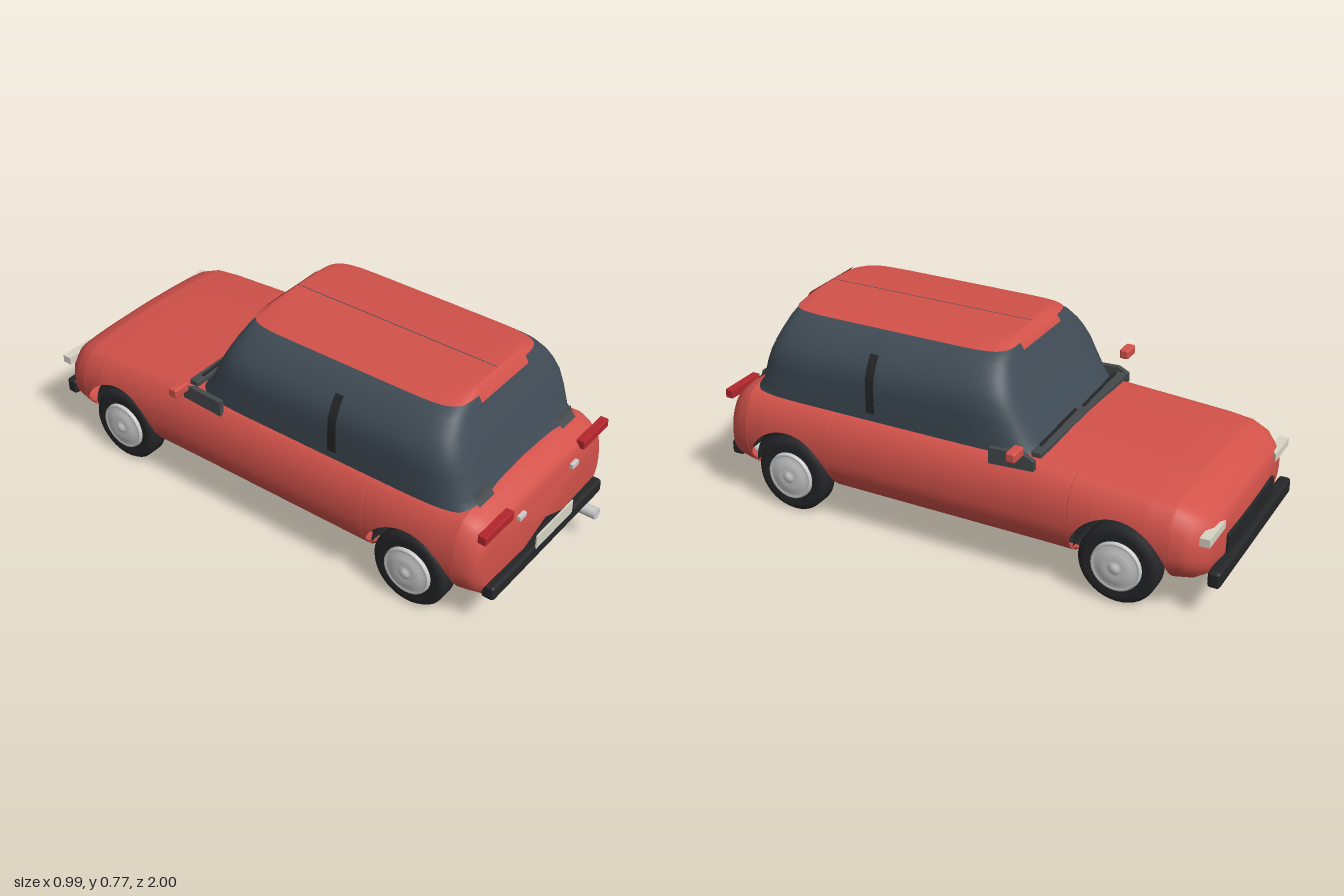
import * as THREE from 'three';
import { RoundedBoxGeometry } from 'three/addons/geometries/RoundedBoxGeometry.js';

const mat = (color) => new THREE.MeshStandardMaterial({ color, side: THREE.DoubleSide });
const RED = mat(0xd2524a), GLASS = mat(0x3f4b55), BLACK = mat(0x252628), TRIM = mat(0x45494b),
  CHROME = mat(0xcccccc), CREAM = mat(0xd8d5c5), LAMP = mat(0xb3262d);

const WHEELS = [-0.655, 0.65], AXLE_Y = 0.15, ARCH = 0.177;

// piecewise linear lookup: rows of [key, a, b, ...]
function lookup(rows, key) {
  let i = 0;
  while (i < rows.length - 2 && key > rows[i + 1][0]) i++;
  const a = rows[i], b = rows[i + 1];
  const t = THREE.MathUtils.clamp((key - a[0]) / (b[0] - a[0]), 0, 1);
  return a.slice(1).map((v, k) => v + (b[k + 1] - v) * t);
}

// surface from a grid of points f(i, j)
function grid(ni, nj, f) {
  const pos = [], idx = [];
  for (let i = 0; i <= ni; i++) for (let j = 0; j <= nj; j++) pos.push(...f(i, j));
  for (let i = 0; i < ni; i++) for (let j = 0; j < nj; j++) {
    const a = i * (nj + 1) + j, b = a + nj + 1;
    idx.push(a, b, a + 1, b, b + 1, a + 1);
  }
  const g = new THREE.BufferGeometry();
  g.setAttribute('position', new THREE.Float32BufferAttribute(pos, 3));
  g.setIndex(idx);
  g.computeVertexNormals();
  return g;
}

// body stations: z, width scale, bottom y, top y
const STATIONS = [
  [-0.972, 0, 0.22, 0.23], [-0.965, 0.64, 0.155, 0.32], [-0.95, 0.85, 0.13, 0.35],
  [-0.9, 0.95, 0.105, 0.395], [-0.84, 0.985, 0.095, 0.42], [-0.75, 1, 0.09, 0.43],
  [-0.35, 1, 0.09, 0.458], [0, 1, 0.09, 0.46], [0.75, 1, 0.09, 0.465], [0.83, 0.99, 0.09, 0.47],
  [0.87, 0.97, 0.095, 0.455], [0.905, 0.94, 0.1, 0.425], [0.922, 0.87, 0.125, 0.4], [0.93, 0, 0.25, 0.26],
];
// half cross-section, bottom centre to top centre: x, height fraction
const SECTION = new THREE.CatmullRomCurve3([
  [0, 0], [0.12, 0.005], [0.25, 0.035], [0.34, 0.09], [0.39, 0.2], [0.42, 0.34], [0.428, 0.5],
  [0.42, 0.68], [0.395, 0.83], [0.36, 0.92], [0.3, 0.955], [0.18, 0.985], [0, 1],
].map(([x, y]) => new THREE.Vector3(x, y, 0)));
const SILL = 0.2;

function bodyPoint(z, u, side) {
  const [w, lo, hi] = lookup(STATIONS, z), p = SECTION.getPoint(u);
  return [side * w * p.x, lo + (hi - lo) * p.y, z];
}

// where the body side starts: the sill, or the wheel arch edge
function lowerEdge(z) {
  const c = WHEELS.find((c) => Math.abs(z - c) < ARCH);
  if (c === undefined) return SILL;
  const y = AXLE_Y + Math.sqrt(ARCH ** 2 - (z - c) ** 2);
  let a = SILL, b = 1;
  for (let k = 0; k < 24; k++) {
    const m = (a + b) / 2;
    if (bodyPoint(z, m, 1)[1] < y) a = m; else b = m;
  }
  return a;
}

// cabin outline by height: y, half width, front z, back z
const CABIN = [
  [0.44, 0.378, -0.325, 0.855], [0.47, 0.378, -0.3, 0.825], [0.55, 0.378, -0.255, 0.8],
  [0.6, 0.376, -0.23, 0.78], [0.64, 0.36, -0.21, 0.763], [0.675, 0.338, -0.192, 0.747],
  [0.715, 0.3, -0.17, 0.73], [0.742, 0.26, -0.155, 0.716], [0.758, 0.2, -0.14, 0.706],
  [0.765, 0.13, -0.132, 0.7], [0.768, 0, -0.13, 0.697],
];
const spow = (v) => Math.sign(v) * Math.abs(v) ** 0.24;

// stacked rounded rectangles following the cabin outline
function cabinShell(rows, grow) {
  const n = 72;
  return grid(rows.length - 1, n, (i, j) => {
    const [y, w, f, b] = rows[i], a = (j / n) * Math.PI * 2;
    return [(w + grow) * spow(Math.cos(a)), y + grow,
      (f + b) / 2 + ((b - f) / 2 + grow) * spow(Math.sin(a))];
  });
}

// strip lying on the windscreen (end -1) or rear window (end 1)
function endPatch(x0, x1, y0, y1, end) {
  return grid(6, 8, (i, j) => {
    const y = y0 + (y1 - y0) * i / 6, [, f, b] = lookup(CABIN, y);
    return [x0 + (x1 - x0) * j / 8, y + 0.002, end < 0 ? f - 0.005 : b + 0.005];
  });
}

export function createModel() {
  const car = new THREE.Group();
  car.name = 'car';
  const add = (name, geo, material, x = 0, y = 0, z = 0, parent = car) => {
    const m = new THREE.Mesh(geo, material);
    m.name = name;
    m.position.set(x, y, z);
    parent.add(m);
    return m;
  };
  // rounded box given by its limits
  const box = (name, material, x0, x1, y0, y1, z0, z1, r = 0.004) => add(name,
    new RoundedBoxGeometry(x1 - x0, y1 - y0, z1 - z0, 2, r), material,
    (x0 + x1) / 2, (y0 + y1) / 2, (z0 + z1) / 2);

  // painted body with wheel arches
  const zs = STATIONS.map((s) => s[0]);
  for (let i = 1; i < 24; i++) zs.push(-0.95 + i * 0.078);
  for (const c of WHEELS) {
    for (let i = 0; i <= 28; i++) zs.push(c - 0.99999 * ARCH * Math.cos((i / 28) * Math.PI));
    zs.push(c - ARCH - 0.0005, c + ARCH + 0.0005);
  }
  zs.sort((a, b) => a - b);
  const edges = zs.map(lowerEdge), rows = 30;
  add('body', grid(zs.length - 1, rows * 2, (i, j) => {
    const t = 1 - Math.abs(j - rows) / rows;
    return bodyPoint(zs[i], edges[i] + (1 - edges[i]) * t, j < rows ? 1 : -1);
  }), RED);

  // underside panels between the arches
  const spans = [[-0.965, WHEELS[0] - ARCH], [WHEELS[0] + ARCH, WHEELS[1] - ARCH], [WHEELS[1] + ARCH, 0.922]];
  for (const [a, b] of spans) {
    add('floor', grid(10, 20, (i, j) => {
      const s = (j - 10) / 10;
      return bodyPoint(a + (b - a) * i / 10, Math.abs(s) * SILL, s < 0 ? -1 : 1);
    }), BLACK);
  }

  // wheel arch liners and wheels
  const tyre = new THREE.LatheGeometry([[0, -0.043], [0.115, -0.043], [0.135, -0.04], [0.145, -0.028],
    [0.145, 0.028], [0.135, 0.04], [0.115, 0.043], [0.09, 0.038], [0, 0.038]]
    .map(([r, y]) => new THREE.Vector2(r, y)), 40);
  const hub = new THREE.LatheGeometry([[0.092, 0.036], [0.09, 0.05], [0.082, 0.052], [0.078, 0.047],
    [0.06, 0.056], [0.035, 0.06], [0.03, 0.057], [0.016, 0.06], [0.014, 0.066], [0, 0.067]]
    .map(([r, y]) => new THREE.Vector2(r, y)), 32);
  for (const z of WHEELS) {
    const liner = new THREE.CylinderGeometry(ARCH, ARCH, 0.74, 32, 1, true, 0, Math.PI);
    add('archLiner', liner.rotateZ(Math.PI / 2), BLACK, 0, AXLE_Y, z);
    for (const s of [-1, 1]) {
      const wheel = new THREE.Group();
      wheel.name = 'wheel';
      wheel.position.set(s * 0.367, 0.147, z);
      wheel.rotation.z = -s * Math.PI / 2;
      car.add(wheel);
      add('tyre', tyre, BLACK, 0, 0, 0, wheel);
      add('hubcap', hub, CHROME, 0, 0, 0, wheel);
    }
  }

  // glasshouse and roof
  add('windows', cabinShell(CABIN, 0), GLASS);
  add('roof', cabinShell(CABIN.slice(7), 0.002), RED);
  for (const e of [-1, 1]) add('roofTab', endPatch(-0.142, 0.142, 0.72, 0.767, e), RED);
  for (const s of [-1, 1]) {
    add('doorPillar', grid(8, 1, (i, j) => {
      const y = 0.47 + 0.21 * i / 8;
      return [s * (lookup(CABIN, y)[0] + 0.003), y, 0.292 + 0.034 * j];
    }), BLACK);
    add('rearVent', endPatch(s * 0.215, s * 0.305, 0.452, 0.492, 1), TRIM);
    // mirrors and their base panels
    const panel = new THREE.Shape([[0.17, 0.405], [0.34, 0.415], [0.34, 0.45], [0.3, 0.47], [0.17, 0.465]]
      .map(([a, b]) => new THREE.Vector2(a, b)));
    const base = new THREE.ExtrudeGeometry(panel, { depth: 0.02, bevelEnabled: false });
    add('mirrorBase', base.rotateY(Math.PI / 2), TRIM, s * 0.388 - 0.01);
    box('mirror', RED, s * 0.46 - 0.035, s * 0.46 + 0.035, 0.484, 0.521, -0.32, -0.283, 0.008);
    // lamps
    box('tailLamp', LAMP, s * 0.31 - 0.085, s * 0.31 + 0.085, 0.396, 0.43, 0.9, 0.932);
    box('reverseLamp', CHROME, s * 0.17 - 0.02, s * 0.17 + 0.02, 0.361, 0.38, 0.915, 0.937, 0.002);
    const lens = new THREE.Shape([[0.25, 0.968], [0.395, 0.968], [0.395, 0.932], [0.3, 0.932]]
      .map(([a, b]) => new THREE.Vector2(s * a, b)));
    const lamp = new THREE.ExtrudeGeometry(lens, { depth: 0.03, bevelEnabled: false });
    add('headlamp', lamp.rotateX(-Math.PI / 2), CREAM, 0, 0.3, 0);
    // wipers
    const wiper = box('wiper', BLACK, s * 0.17 - 0.15, s * 0.17 + 0.15, 0.472, 0.48, -0.326, -0.316, 0.002);
    wiper.rotation.y = 0.04;
  }
  box('cowl', TRIM, -0.355, 0.355, 0.445, 0.467, -0.347, -0.31);

  // bumpers, grille, plate and exhaust
  box('frontBumper', BLACK, -0.365, 0.365, 0.132, 0.192, -1, -0.955, 0.012);
  box('grille', BLACK, -0.225, 0.225, 0.17, 0.262, -0.978, -0.955);
  box('rearBumper', BLACK, -0.358, 0.358, 0.14, 0.196, 0.905, 0.955, 0.012);
  box('plate', CREAM, -0.118, 0.118, 0.21, 0.265, 0.962, 0.968, 0.001);
  add('exhaust', new THREE.CylinderGeometry(0.022, 0.022, 0.12, 20).rotateX(Math.PI / 2), CHROME, 0.255, 0.125, 0.94);
  return car;
}
